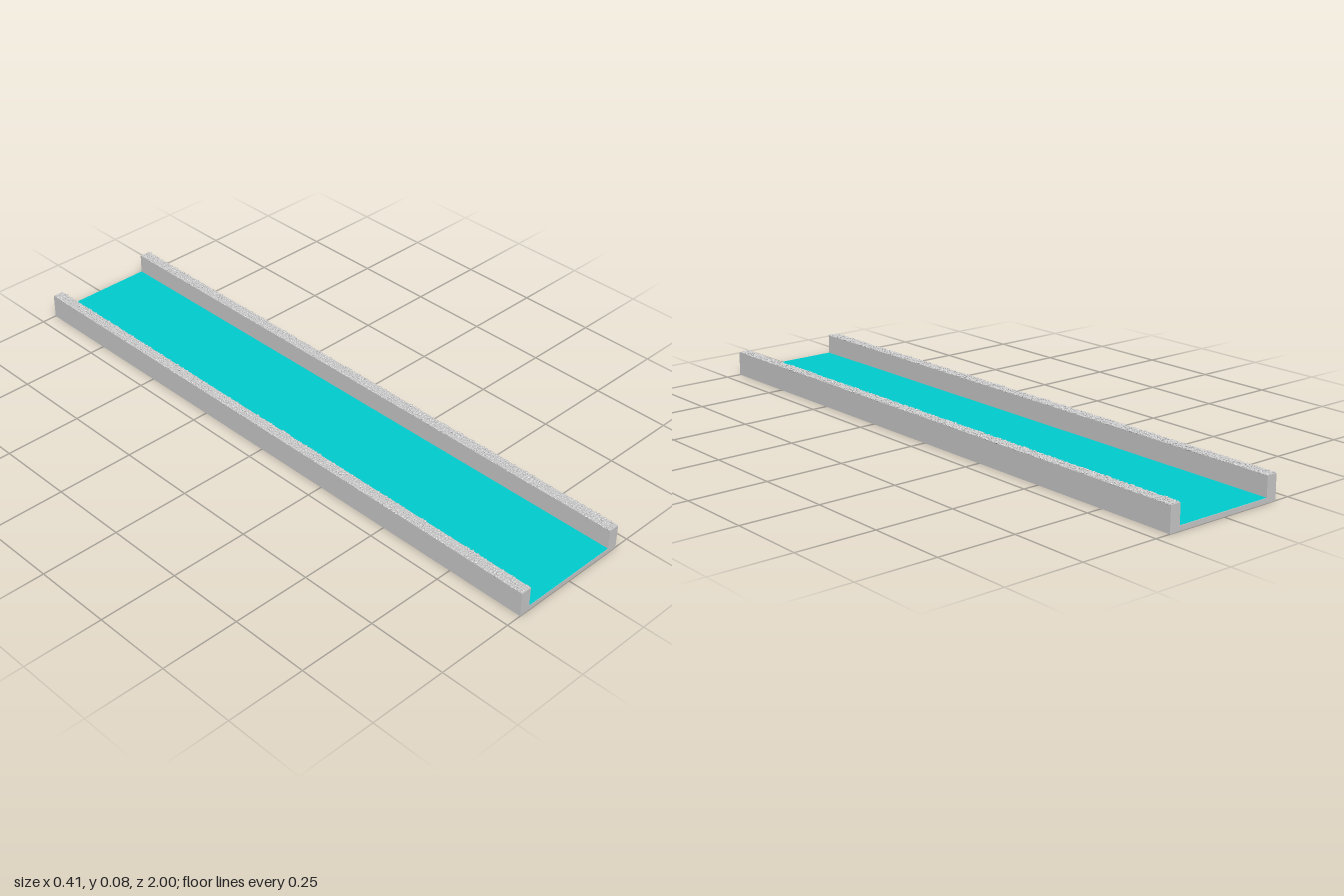
import * as THREE from 'three';
import { mergeGeometries } from 'three/addons/utils/BufferGeometryUtils.js';

const HALF_W = 0.2, INNER = 0.165, WALL_H = 0.078, FLOOR_H = 0.015, LENGTH = 2;

// Small seeded generator, returns values in a..b
function seeded(seed) {
  let s = seed;
  return (a, b) => {
    s = (s * 16807) % 2147483647;
    return a + (b - a) * (s / 2147483647);
  };
}

// Strip of flattened pebbles set along the top of one wall
function pebbleStrip(side, rand) {
  const stones = [];
  const rows = 200, columns = 4;
  const pitchZ = LENGTH / rows, pitchX = (HALF_W - INNER) / columns;
  for (let i = 0; i < rows; i++) {
    for (let j = 0; j < columns; j++) {
      const r = rand(0.0038, 0.0062);
      const stone = new THREE.IcosahedronGeometry(1, 0);
      stone.rotateX(rand(0, 6.28)).rotateY(rand(0, 6.28));
      stone.scale(r, r * rand(0.45, 0.65), r * rand(0.8, 1.1));
      const x = INNER + (j + 0.5) * pitchX + rand(-0.0025, 0.0025);
      const z = -LENGTH / 2 + (i + 0.5) * pitchZ + rand(-0.003, 0.003);
      const limit = LENGTH / 2 - 0.007;
      stone.translate(side * x, WALL_H + rand(0, 0.0015), THREE.MathUtils.clamp(z, -limit, limit));
      stones.push(stone);
    }
  }
  return mergeGeometries(stones);
}

export function createModel() {
  const group = new THREE.Group();
  const grey = new THREE.MeshStandardMaterial({ color: 0xcccccc, flatShading: true });
  const turquoise = new THREE.MeshStandardMaterial({ color: 0x00ced1 });

  const add = (name, geometry, material) => {
    const mesh = new THREE.Mesh(geometry, material);
    mesh.name = name;
    group.add(mesh);
    return mesh;
  };

  // U-shaped channel: floor slab with a wall on each side
  const profile = new THREE.Shape([
    [-HALF_W, 0], [HALF_W, 0], [HALF_W, WALL_H], [INNER, WALL_H],
    [INNER, FLOOR_H], [-INNER, FLOOR_H], [-INNER, WALL_H], [-HALF_W, WALL_H],
  ].map(([x, y]) => new THREE.Vector2(x, y)));
  const channel = new THREE.ExtrudeGeometry(profile, { depth: LENGTH, bevelEnabled: false });
  channel.translate(0, 0, -LENGTH / 2);
  add('channel', channel, grey);

  // Water surface lying on the floor
  const water = new THREE.PlaneGeometry(INNER * 2, LENGTH).rotateX(-Math.PI / 2);
  add('waterSurface', water, turquoise).position.y = FLOOR_H + 0.001;

  // Pebbles on both wall tops
  const rand = seeded(4271);
  add('leftPebbles', pebbleStrip(1, rand), grey);
  add('rightPebbles', pebbleStrip(-1, rand), grey);

  return group;
}
